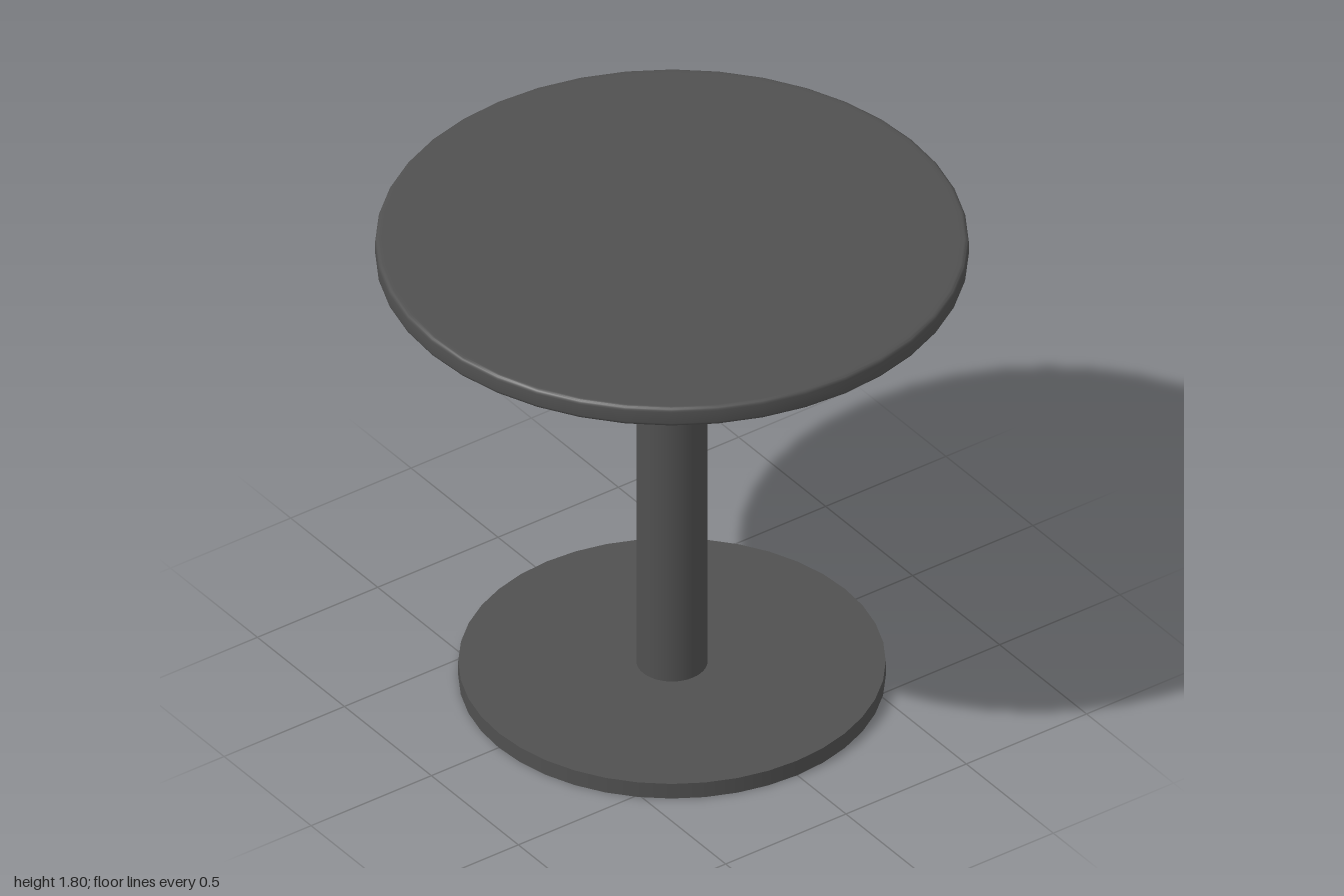
import * as THREE from 'three';
import { toCreasedNormals } from 'three/addons/utils/BufferGeometryUtils.js';

const SIDES = 40;

export function createModel() {
  const table = new THREE.Group();
  table.name = 'pedestalTable';
  const material = new THREE.MeshStandardMaterial({ color: 0x505050 });

  const add = (name, geometry, y) => {
    const mesh = new THREE.Mesh(geometry, material);
    mesh.name = name;
    mesh.position.y = y;
    table.add(mesh);
  };
  const disc = (name, radius, bottom, top) =>
    add(name, new THREE.CylinderGeometry(radius, radius, top - bottom, SIDES), (bottom + top) / 2);

  // Floor plate and central column
  disc('base', 0.72, 0, 0.06);
  disc('column', 0.12, 0.06, 1.73);

  // Round top with softly rounded upper and lower rims
  const radius = 1, thickness = 0.075, round = 0.015, steps = 4;
  const profile = [new THREE.Vector2(0, 0), new THREE.Vector2(radius - 2 * round, 0)];
  for (const [centreY, start] of [[round, -Math.PI / 2], [thickness - round, 0]]) {
    for (let i = 0; i <= steps; i++) {
      const a = start + (i / steps) * Math.PI / 2;
      profile.push(new THREE.Vector2(radius - round + round * Math.cos(a), centreY + round * Math.sin(a)));
    }
  }
  profile.push(new THREE.Vector2(radius - 2 * round, thickness), new THREE.Vector2(0, thickness));
  add('tabletop', toCreasedNormals(new THREE.LatheGeometry(profile, SIDES), 0.5), 1.725);

  return table;
}
